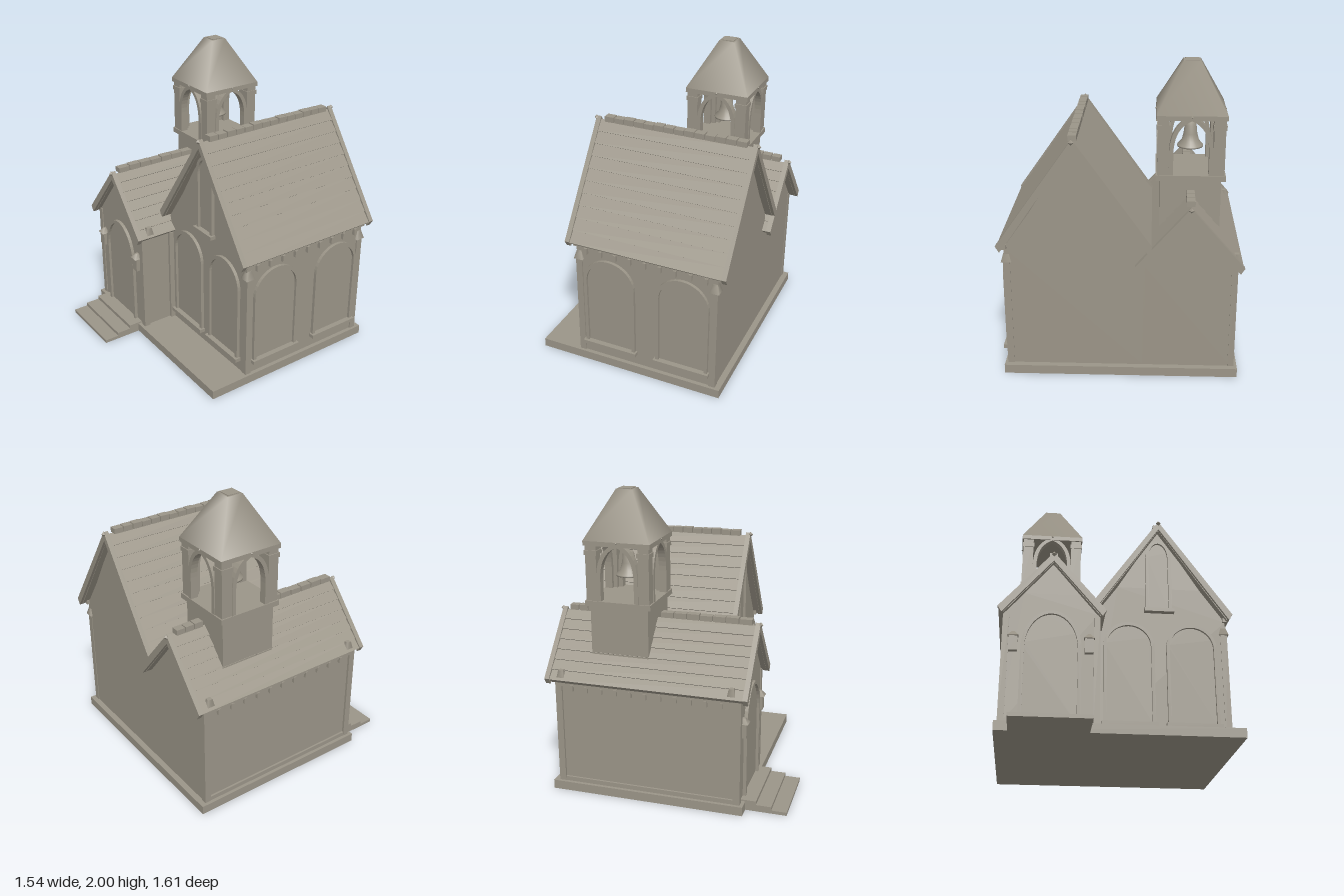
import * as THREE from 'three';

const stone = new THREE.MeshStandardMaterial({ color: 0x9b9588 });
stone.name = 'warm grey stone';

function add(parent, geo, name, x = 0, y = 0, z = 0) {
  const m = new THREE.Mesh(geo, stone);
  m.name = name;
  m.position.set(x, y, z);
  parent.add(m);
  return m;
}

// box given by its minimum and maximum corners
function box(parent, name, x0, x1, y0, y1, z0, z1) {
  return add(parent, new THREE.BoxGeometry(x1 - x0, y1 - y0, z1 - z0), name,
    (x0 + x1) / 2, (y0 + y1) / 2, (z0 + z1) / 2);
}

// extrude an outline in x/y between two z planes
function slab(parent, name, pts, z0, z1) {
  const shape = new THREE.Shape(pts.map(p => new THREE.Vector2(p[0], p[1])));
  const geo = new THREE.ExtrudeGeometry(shape, { depth: z1 - z0, bevelEnabled: false });
  return add(parent, geo, name, 0, 0, z0);
}

// points over an arch, from left foot to right foot; pointed > 0 makes it gothic
function archPoints(half, y0, spring, top, pointed) {
  const pts = [[-half, y0]];
  const n = 20;
  for (let i = 0; i <= n; i++) {
    const a = Math.PI * (1 - i / n);
    const c = Math.cos(a), s = Math.sin(a);
    const tip = pointed * (1 - Math.abs(c)) ** 2;
    pts.push([half * c, spring + (top - spring) * (s * (1 - pointed) + tip + pointed * s * Math.abs(c))]);
  }
  pts.push([half, y0]);
  return pts;
}

function archFrame(parent, name, half, y0, spring, top, t, depth, pointed = 0) {
  const outer = archPoints(half, y0, spring, top, pointed);
  const inner = archPoints(half - t, y0, spring, top - t, pointed).reverse();
  return slab(parent, name, [...outer, ...inner], 0, depth);
}

// arched opening with frame, thin pane and sill, facing +z
function archedWindow(parent, name, x, z, turn, half, y0, spring, top, pointed = 0, sill = true) {
  const g = new THREE.Group();
  g.name = name;
  g.position.set(x, 0, z);
  g.rotation.y = turn;
  archFrame(g, 'archSurround', half, y0, spring, top, 0.022, 0.022, pointed);
  slab(g, 'pane', archPoints(half - 0.02, y0, spring, top - 0.02, pointed), 0, 0.004);
  if (sill) box(g, 'sill', -half - 0.012, half + 0.012, y0 - 0.025, y0, 0, 0.04);
  parent.add(g);
}

// one roof slope with overlapping boards
function slope(parent, name, side, cx, apex, halfW, drop, thick, rows, lap, z0, z1) {
  const pts = [[cx, apex - thick]];
  pts.push([cx + side * (halfW - 0.025), apex - drop - thick + 0.02]);
  const nx = drop / Math.hypot(halfW, drop), ny = halfW / Math.hypot(halfW, drop);
  for (let i = rows; i > 0; i--) {
    const a = i / rows, b = (i - 1) / rows;
    pts.push([cx + side * (halfW * a + nx * lap), apex - drop * a + ny * lap]);
    pts.push([cx + side * halfW * b, apex - drop * b]);
  }
  slab(parent, name, pts, z0, z1);
}

function gableRoof(parent, name, cx, apex, halfW, drop, rows, z0, z1) {
  const g = new THREE.Group();
  g.name = name;
  for (const s of [-1, 1]) {
    slope(g, 'boardedSlope', s, cx, apex - 0.012, halfW - 0.012, drop - 0.01, 0.042, rows, 0.009, z0 + 0.02, z1 - 0.02);
    for (const z of [z0, z1 - 0.032])
      slope(g, 'bargeboard', s, cx, apex + 0.008, halfW, drop, 0.06, 1, 0, z, z + 0.032);
  }
  // small finial stones at both ends of the ridge
  for (const z of [z0, z1]) add(g, new THREE.OctahedronGeometry(0.018), 'ridgeFinial', cx, apex - 0.005, z);
  parent.add(g);
}

function ridgeTiles(parent, cx, y, z0, z1, n) {
  const step = (z1 - z0) / n;
  for (let i = 0; i < n; i++) {
    const lift = (i % 3) * 0.002;
    box(parent, 'ridgeTile', cx - 0.026, cx + 0.026, y - 0.035, y + lift, z0 + i * step + 0.003, z0 + (i + 1) * step - 0.003);
  }
}

// corner pilaster with a tapered cap
function pilaster(parent, x, z, top) {
  box(parent, 'pilaster', x - 0.022, x + 0.022, 0.06, top, z - 0.022, z + 0.022);
  const cap = new THREE.CylinderGeometry(0.022, 0.046, 0.06, 4).rotateY(Math.PI / 4);
  add(parent, cap, 'pilasterCap', x, top + 0.03, z);
}

function gableWall(parent, name, cx, half, eave, kneeX, kneeY, apex, z0, z1) {
  slab(parent, name, [[cx - half, 0.05], [cx + half, 0.05], [cx + half, eave], [cx + kneeX, kneeY],
    [cx, apex], [cx - kneeX, kneeY], [cx - half, eave]], z0, z1);
}

export function createModel() {
  const model = new THREE.Group();
  model.name = 'chapel';

  // plinth and entrance steps
  box(model, 'plinth', -0.76, 0.755, 0, 0.06, -0.77, 0.53);
  box(model, 'lowerStep', -0.675, -0.19, 0, 0.022, 0.5, 0.8);
  box(model, 'middleStep', -0.675, -0.19, 0, 0.045, 0.5, 0.7);
  box(model, 'upperStep', -0.675, -0.19, 0, 0.07, 0.5, 0.6);

  // main hall
  const hx = 0.285;
  gableWall(model, 'hallWalls', hx, 0.443, 0.885, 0.28, 1.115, 1.57, -0.73, 0.25);
  gableRoof(model, 'hallRoof', hx, 1.6, 0.485, 0.69, 10, -0.793, 0.312);
  ridgeTiles(model, hx, 1.62, -0.73, 0.245, 14);
  box(model, 'eaveFascia', 0.71, 0.738, 0.88, 0.91, -0.75, 0.27);
  for (let i = 0; i < 10; i++) {
    const z = 0.175 - i * 0.104;
    if (z > -0.72) box(model, 'eaveCorbel', 0.72, 0.75, 0.84, 0.885, z - 0.01, z + 0.01);
  }
  for (const z of [0.232, -0.712]) pilaster(model, 0.715, z, 0.79);
  archedWindow(model, 'frontWindow', 0.078, 0.25, 0, 0.168, 0.16, 0.68, 0.848);
  archedWindow(model, 'frontWindow', 0.493, 0.25, 0, 0.168, 0.16, 0.68, 0.848);
  archedWindow(model, 'gableWindow', 0.283, 0.25, 0, 0.088, 0.955, 1.34, 1.478);
  for (const z of [0.015, -0.5])
    archedWindow(model, 'sideWindow', 0.728, z, Math.PI / 2, 0.182, 0.165, 0.645, 0.822);

  // entrance wing
  const wx = -0.435;
  gableWall(model, 'wingWalls', wx, 0.29, 0.78, 0.18, 0.915, 1.14, -0.73, 0.5);
  gableRoof(model, 'wingRoof', wx, 1.18, 0.34, 0.395, 7, -0.793, 0.553);
  ridgeTiles(model, wx, 1.21, -0.735, -0.54, 3);
  ridgeTiles(model, wx, 1.21, -0.1, 0.505, 7);
  for (const [x, z] of [[-0.72, 0.485], [-0.15, 0.485], [-0.72, -0.712]])
    box(model, 'wingPilaster', x - 0.02, x + 0.02, 0.06, 0.78, z - 0.022, z + 0.022);
  for (const [x, z] of [[-0.73, 0.445], [-0.138, 0.445], [-0.73, -0.69]]) {
    const cap = new THREE.CylinderGeometry(0.022, 0.042, 0.07, 4).rotateY(Math.PI / 4);
    add(model, cap, 'roofCap', x, 0.815, z);
  }
  box(model, 'innerPilaster', -0.15, -0.125, 0.06, 0.76, 0.25, 0.285);
  box(model, 'sideBaseTrim', -0.738, -0.72, 0.06, 0.09, -0.71, 0.48);
  box(model, 'sideTopTrim', -0.738, -0.72, 0.74, 0.77, -0.71, 0.48);
  for (let i = 0; i < 11; i++) {
    const z = -0.62 + i * 0.1;
    box(model, 'wingCorbel', -0.744, -0.72, 0.71, 0.75, z - 0.01, z + 0.01);
  }
  archedWindow(model, 'entranceDoor', wx, 0.5, 0, 0.187, 0.06, 0.54, 0.79, 0, false);

  // wall lanterns beside the door
  for (const x of [-0.67, -0.2]) {
    box(model, 'lantern', x - 0.027, x + 0.027, 0.51, 0.605, 0.495, 0.533);
    const hood = new THREE.CylinderGeometry(0.012, 0.048, 0.035, 4).rotateY(Math.PI / 4);
    add(model, hood, 'lanternHood', x, 0.622, 0.51);
  }

  // bell tower
  const tower = new THREE.Group();
  tower.name = 'bellTower';
  tower.position.set(wx, 0, -0.32);
  model.add(tower);
  box(tower, 'towerBase', -0.193, 0.193, 0.8, 1.27, -0.193, 0.193);
  box(tower, 'towerLedge', -0.219, 0.219, 1.27, 1.305, -0.219, 0.219);
  for (const x of [-1, 1]) for (const z of [-1, 1]) {
    const post = box(tower, 'belfryPost', -0.036, 0.036, 1.305, 1.67, -0.036, 0.036);
    post.position.x = x * 0.174;
    post.position.z = z * 0.174;
    const foot = box(tower, 'postBlock', -0.042, 0.042, 1.6, 1.63, -0.042, 0.042);
    foot.position.x = x * 0.174;
    foot.position.z = z * 0.174;
  }
  for (let i = 0; i < 4; i++) {
    const face = new THREE.Group();
    face.name = 'belfrySide';
    face.rotation.y = i * Math.PI / 2;
    archFrame(face, 'belfryArch', 0.138, 1.305, 1.45, 1.685, 0.027, 0.05, 0.25).position.z = 0.165;
    add(face, new THREE.OctahedronGeometry(0.028), 'keystone', 0, 1.683, 0.2);
    tower.add(face);
  }
  box(tower, 'roofPlate', -0.22, 0.22, 1.66, 1.69, -0.22, 0.22);
  const d = Math.SQRT2;
  add(tower, new THREE.CylinderGeometry(0.054 * d, 0.22 * d, 0.305, 4, 1).rotateY(Math.PI / 4), 'spireRoof', 0, 1.8425, 0);
  box(tower, 'spireCap', -0.044, 0.044, 1.99, 2.0, -0.044, 0.044);

  // bell with clapper and hanger
  const profile = [[0.001, 1.6], [0.025, 1.598], [0.038, 1.575], [0.044, 1.52], [0.056, 1.475],
    [0.083, 1.445], [0.083, 1.435], [0.06, 1.437], [0.001, 1.5]].map(p => new THREE.Vector2(p[0], p[1]));
  add(tower, new THREE.LatheGeometry(profile.reverse(), 24), 'bell');
  add(tower, new THREE.SphereGeometry(0.015, 12, 8), 'clapper', 0, 1.435, 0);
  add(tower, new THREE.CylinderGeometry(0.004, 0.004, 0.08, 8), 'clapperRod', 0, 1.475, 0);
  add(tower, new THREE.CylinderGeometry(0.008, 0.008, 0.07, 8), 'bellHanger', 0, 1.63, 0);

  return model;
}
